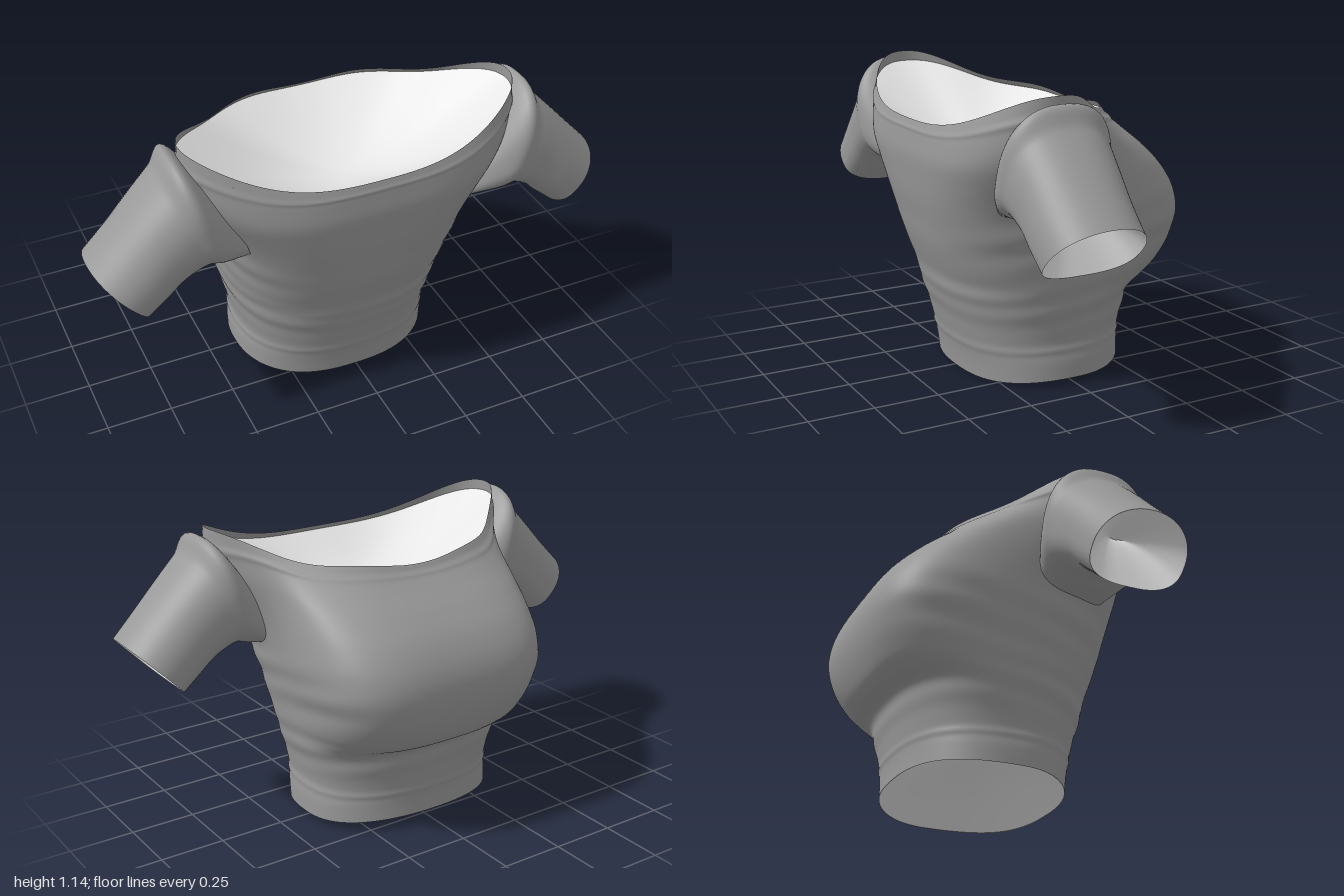
import * as THREE from 'three';

const fabric = new THREE.MeshStandardMaterial({ color: 0x999999, side: THREE.DoubleSide });
fabric.name = 'greyFabric';
const lining = new THREE.MeshStandardMaterial({ color: 0xf4f4f4, side: THREE.DoubleSide });
lining.name = 'paleLining';

// Closed loops joined into a smooth skin; at(u, v) gives a point, u runs round, v along
function loft(name, material, at, around, along) {
  const pos = [], index = [];
  for (let j = 0; j <= along; j++) {
    for (let i = 0; i < around; i++) {
      pos.push(...at((i / around) * Math.PI * 2, j / along));
      if (j === along) continue;
      const a = j * around + i, b = j * around + ((i + 1) % around);
      index.push(a, a + around, b, b, a + around, b + around);
    }
  }
  const g = new THREE.BufferGeometry();
  g.setAttribute('position', new THREE.Float32BufferAttribute(pos, 3));
  g.setIndex(index);
  g.computeVertexNormals();
  const mesh = new THREE.Mesh(g, material);
  mesh.name = name;
  return mesh;
}

// Smooth interpolation through a list of section rows
function sample(rows, t) {
  const s = t * (rows.length - 1), k = Math.min(Math.floor(s), rows.length - 2), f = s - k;
  const row = (i) => rows[Math.max(0, Math.min(rows.length - 1, i))];
  return row(k).map((p1, c) => {
    const p0 = row(k - 1)[c], p2 = row(k + 1)[c], p3 = row(k + 2)[c];
    return p1 + 0.5 * f * (p2 - p0 + f * (2 * p0 - 5 * p1 + 4 * p2 - p3 + f * (3 * (p1 - p2) + p3 - p0)));
  });
}

const power = (c, n) => Math.sign(c) * Math.pow(Math.abs(c), 2 / n);
const bump = (x, centre, width) => Math.exp(-(((x - centre) / width) ** 2));

// Torso sections: height at +z, side, -z | half width, z max, z min, widest z | squareness +z, -z
const torsoRows = [
  [0.00, 0.025, 0.05, 0.395, 0.31, -0.315, 0.0, 2.4, 2.4],
  [0.07, 0.09, 0.11, 0.395, 0.32, -0.315, 0.0, 2.4, 2.4],
  [0.15, 0.16, 0.17, 0.39, 0.338, -0.32, 0.0, 2.4, 2.4],
  [0.25, 0.25, 0.26, 0.405, 0.365, -0.335, 0.0, 2.4, 2.5],
  [0.33, 0.33, 0.34, 0.425, 0.392, -0.355, 0.0, 2.4, 2.6],
  [0.38, 0.38, 0.38, 0.435, 0.40, -0.415, 0.0, 2.4, 2.8],
  [0.43, 0.43, 0.43, 0.445, 0.415, -0.458, 0.0, 2.5, 3.2],
  [0.52, 0.52, 0.52, 0.46, 0.445, -0.492, 0.0, 2.6, 3.7],
  [0.61, 0.61, 0.61, 0.48, 0.465, -0.503, 0.0, 2.8, 3.9],
  [0.70, 0.70, 0.70, 0.49, 0.485, -0.485, 0.02, 3.0, 3.8],
  [0.79, 0.80, 0.79, 0.49, 0.498, -0.435, 0.05, 3.4, 3.5],
  [0.86, 0.90, 0.87, 0.49, 0.505, -0.36, 0.10, 3.6, 3.2],
  [0.92, 0.99, 0.94, 0.495, 0.502, -0.28, 0.15, 3.3, 2.8],
  [0.96, 1.07, 0.99, 0.50, 0.498, -0.23, 0.19, 2.9, 2.5],
  [0.99, 1.14, 1.03, 0.50, 0.49, -0.208, 0.22, 2.5, 2.3],
];

// Sideways flare of the torso into the shoulder, from armpit height up
const flare = (y) => 0.14 * THREE.MathUtils.smoothstep(y, 0.66, 1.0);

function torsoPoint(u, v) {
  const [yF, yS, yB, w, zF, zB, c, nF, nB] = sample(torsoRows, v);
  const cu = Math.cos(u), su = Math.sin(u), front = su > 0, n = front ? nF : nB;
  const side = Math.pow(Math.abs(cu), front ? 2.6 : 2.6 + 6.5 * v ** 4);
  const dip = front ? 0 : 0.025 * bump(cu, 0, 0.3) * v ** 8;
  const y = yS * side + (front ? yF : yB) * (1 - side) - dip;
  let x = w * power(cu, n), z = c + (front ? zF - c : c - zB) * power(su, n);
  x += flare(yS) * cu * bump(z, 0.22, z > 0.22 ? 0.3 : 0.19);
  // Raised seams and slanting stretch folds
  const seam = 0.005 * bump(v, 0.125, 0.012) + 0.005 * bump(v, 0.925, 0.014);
  const fold = 0.003 * bump(y, 0.32, 0.09) * Math.sin(62 * (y + 0.16 * z) + 3 * x)
    + 0.0035 * bump(y, 0.56, 0.12) * side * Math.sin(50 * (y + 0.2 * z));
  const k = 1 + 2 * (seam + fold);
  return [x * k, y, c + (z - c) * k];
}

// Left sleeve sections: top x, y | underside x, y | z min, z max | squareness
const sleeveRows = [
  [0.49, 0.87, 0.43, 0.68, 0.08, 0.36, 2.6],
  [0.66, 1.112, 0.535, 0.70, 0.02, 0.432, 2.5],
  [0.73, 1.045, 0.60, 0.715, 0.03, 0.43, 2.3],
  [0.82, 0.955, 0.68, 0.68, 0.042, 0.422, 2.2],
  [0.91, 0.862, 0.745, 0.625, 0.048, 0.42, 2.1],
  [1.00, 0.77, 0.81, 0.57, 0.05, 0.415, 2.1],
];

function sleevePoint(u, v) {
  const [tx, ty, bx, by, z0, z1, square] = sample(sleeveRows, v);
  const s = Math.sin(u), n = s > 0 ? square : 2.8, mid = 0.42;
  const h = mid + (s > 0 ? 1 - mid : mid) * power(s, n);
  const z = (z0 + z1) / 2 + ((z1 - z0) / 2) * power(Math.cos(u), n);
  return [bx + (tx - bx) * h, by + (ty - by) * h, z];
}

// Domed hollow inside an opening: the edge loop drawn in to a sunken centre
const bowl = (edge, centre) => (u, v) => {
  const k = [v, Math.sin((v * Math.PI) / 2), v];
  return edge(u).map((e, i) => e + (centre[i] - e) * k[i]);
};

export function createModel() {
  const model = new THREE.Group();
  model.name = 'cropTop';
  model.add(loft('bodice', fabric, torsoPoint, 128, 120));
  model.add(loft('neckLining', lining, bowl((u) => torsoPoint(u, 0.955), [0, 0.83, 0.17]), 128, 16));
  model.add(loft('hemLining', lining, bowl((u) => torsoPoint(u, 0.004), [0, 0.14, 0]), 128, 16));

  for (const side of [1, -1]) {
    const mirror = (at) => (u, v) => {
      const [x, y, z] = at(side * u, v);
      return [side * x, y, z];
    };
    const sleeve = new THREE.Group();
    sleeve.name = side > 0 ? 'leftSleeve' : 'rightSleeve';
    sleeve.add(loft('sleeveTube', fabric, mirror(sleevePoint), 64, 40));
    sleeve.add(loft('cuffLining', lining, mirror(bowl((u) => sleevePoint(u, 0.996), [0.73, 0.80, 0.23])), 64, 12));
    model.add(sleeve);
  }
  return model;
}
